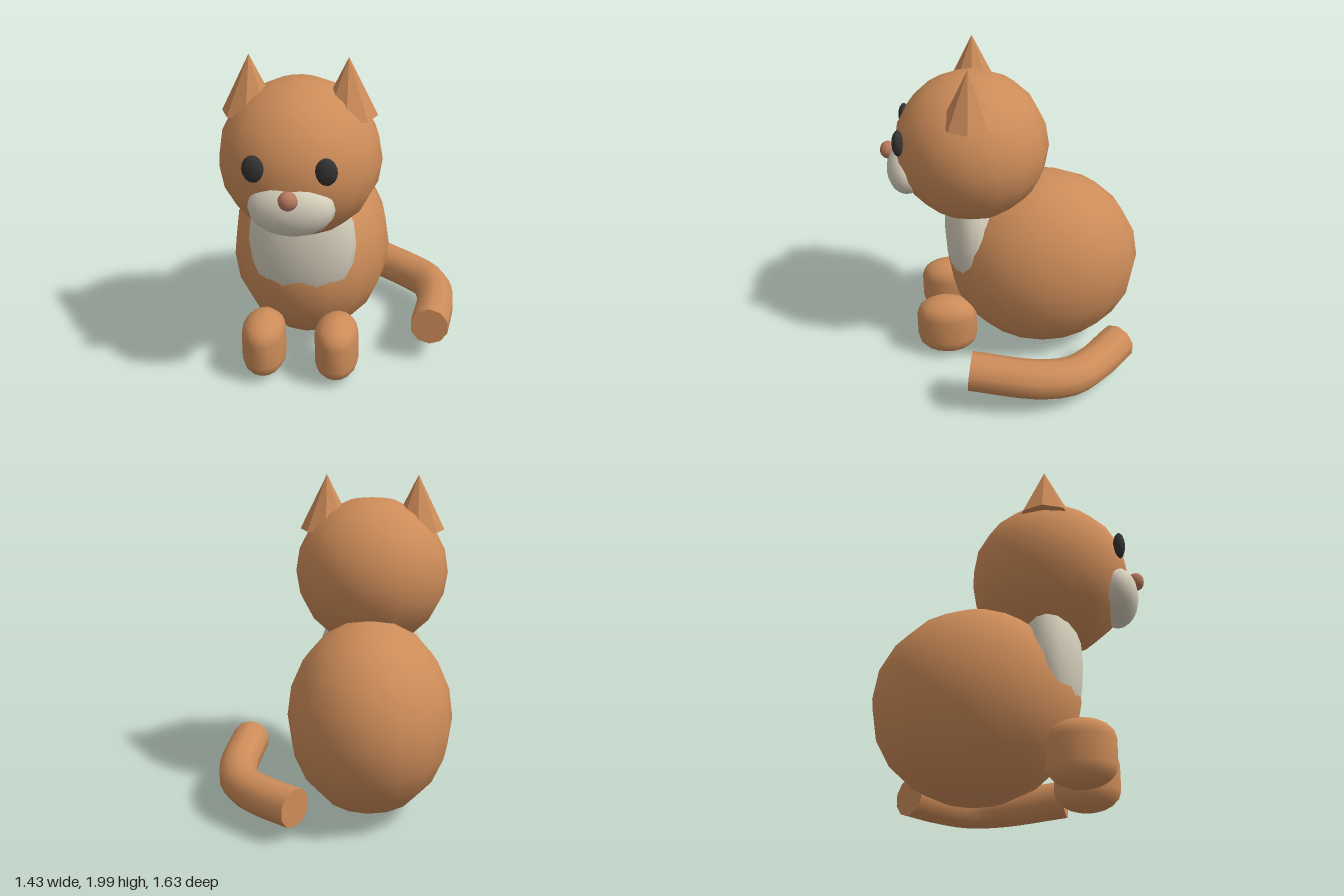
import * as THREE from 'three';

const material = (color, flatShading = false) => new THREE.MeshStandardMaterial({ color, flatShading });
const fur = material(0xcd8c59);
const furFlat = material(0xcd8c59, true);
const cream = material(0xd6cfbc);
const dark = material(0x333333);
const pink = material(0xb87a60);

const AXIS = -0.22; // x of the animal's own middle line

function add(parent, name, geometry, mat, position = [0, 0, 0]) {
  const mesh = new THREE.Mesh(geometry, mat);
  mesh.name = name;
  mesh.position.set(...position);
  parent.add(mesh);
  return mesh;
}

function ellipsoid(parent, name, mat, position, radii, across = 16, rows = 10) {
  const mesh = add(parent, name, new THREE.SphereGeometry(1, across, rows), mat, position);
  mesh.scale.set(...radii);
  return mesh;
}

export function createModel() {
  const model = new THREE.Group();
  model.name = 'sittingCat';

  // Everything but the tail is placed about the middle line
  const cat = new THREE.Group();
  cat.name = 'cat';
  cat.position.x = AXIS;
  model.add(cat);

  ellipsoid(cat, 'body', fur, [0, 0.6, -0.195], [0.5, 0.59, 0.615]);
  ellipsoid(cat, 'chest', cream, [0, 0.83, 0.25], [0.327, 0.45, 0.185]);
  ellipsoid(cat, 'head', fur, [0, 1.398, 0.25], [0.475, 0.463, 0.475]);
  ellipsoid(cat, 'muzzle', cream, [0, 1.258, 0.65], [0.245, 0.163, 0.13]);
  ellipsoid(cat, 'nose', pink, [0, 1.36, 0.768], [0.055, 0.055, 0.05], 10, 8);

  // Paw profile: straight sides with softly rounded ends
  const capCurve = [[0, 0], [0.3, 0.006], [0.55, 0.02], [0.78, 0.045], [0.93, 0.075], [1, 0.12]];
  const profile = [
    ...capCurve.map(([r, y]) => new THREE.Vector2(r, y)),
    ...capCurve.slice().reverse().map(([r, y]) => new THREE.Vector2(r, 0.398 - y)),
  ];
  const pawGeometry = new THREE.LatheGeometry(profile, 16);

  // Paired parts
  for (const [side, s] of [['left', 1], ['right', -1]]) {
    ellipsoid(cat, side + 'Eye', dark, [s * 0.2, 1.5, 0.68], [0.062, 0.08, 0.036], 12, 8);
    add(cat, side + 'Ear', new THREE.ConeGeometry(0.165, 0.335, 8), furFlat, [s * 0.28, 1.8325, 0.25]);
    const paw = add(cat, side + 'FrontPaw', pawGeometry, fur, [s * 0.224, 0.008, 0.425]);
    paw.scale.set(0.135, 1, 0.193);
  }

  // Tail: bent tube with flat ends
  const path = new THREE.CatmullRomCurve3([
    [0.2, 0.205, -0.67], [0.43, 0.205, -0.495], [0.55, 0.212, -0.36],
    [0.597, 0.225, -0.15], [0.565, 0.262, 0.25],
  ].map(p => new THREE.Vector3(...p)));
  const radius = 0.12, sides = 10;
  const tail = new THREE.Group();
  tail.name = 'tail';
  model.add(tail);
  add(tail, 'tailTube', new THREE.TubeGeometry(path, 14, radius, sides), fur);

  // End discs share the frames of the tube so the corners meet
  const frames = path.computeFrenetFrames(14);
  for (const [name, t, i, dir] of [['tailBase', 0, 0, -1], ['tailTip', 1, 14, 1]]) {
    const cap = add(tail, name, new THREE.CircleGeometry(radius, sides), fur, path.getPointAt(t).toArray());
    const z = frames.tangents[i].clone().multiplyScalar(dir);
    const x = frames.normals[i].clone().negate();
    const y = z.clone().cross(x);
    cap.quaternion.setFromRotationMatrix(new THREE.Matrix4().makeBasis(x, y, z));
  }

  return model;
}
